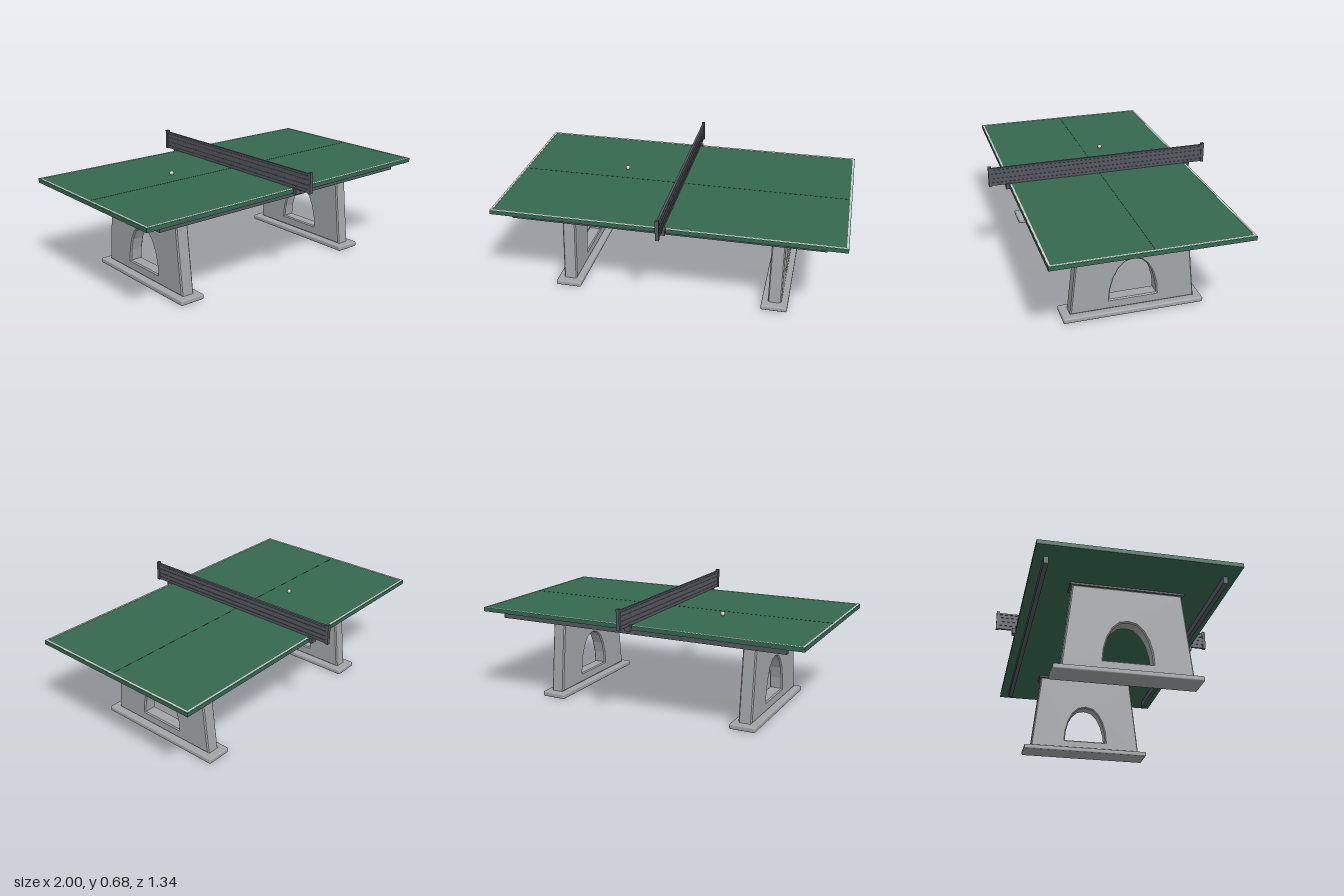
import * as THREE from 'three';
import { RoundedBoxGeometry } from 'three/addons/geometries/RoundedBoxGeometry.js';

const paint = (color) => new THREE.MeshStandardMaterial({ color });
const green = paint(0x35694f);
const darkGreen = paint(0x1c3529);
const steel = paint(0x55575f);
const concrete = paint(0xa2a5a6);
const light = paint(0xcccccc);

export function createModel() {
  const model = new THREE.Group();
  model.name = 'tableTennisTable';

  const add = (name, geometry, material, x, y, z, parent = model) => {
    const mesh = new THREE.Mesh(geometry, material);
    mesh.name = name;
    mesh.position.set(x, y, z);
    parent.add(mesh);
    return mesh;
  };
  const box = (name, material, w, h, d, x, y, z, parent) =>
    add(name, new THREE.BoxGeometry(w, h, d), material, x, y, z, parent);

  // Playing surface with its painted border and centre line
  box('tableTop', green, 2, 0.024, 1.1, 0, 0.547, 0);
  for (const s of [-1, 1]) {
    box('sideLine', light, 1.996, 0.002, 0.011, 0, 0.5595, s * 0.5425);
    box('endLine', light, 0.011, 0.002, 1.074, s * 0.9925, 0.5595, 0);
    // Stiffening rails under the long edges
    box('underRail', steel, 1.78, 0.04, 0.026, 0, 0.515, s * 0.485);
  }
  box('centreLine', darkGreen, 1.974, 0.001, 0.003, 0, 0.5593, 0);

  // Tapered slab leg with an arched opening
  const legShape = new THREE.Shape();
  legShape.moveTo(-0.362, 0.03);
  legShape.lineTo(0.362, 0.03);
  legShape.lineTo(0.308, 0.527);
  legShape.lineTo(-0.308, 0.527);
  legShape.closePath();
  const half = [[0.137, 0.088], [0.131, 0.155], [0.112, 0.225], [0.083, 0.28], [0.046, 0.315]];
  const arch = [...half, [0, 0.325], ...half.map(([z, y]) => [-z, y]).reverse()];
  legShape.holes.push(new THREE.Path(arch.map(([z, y]) => new THREE.Vector2(z, y))));
  const bevel = 0.007;
  const legGeometry = new THREE.ExtrudeGeometry(legShape, {
    depth: 0.08 - 2 * bevel, bevelEnabled: true, bevelSegments: 1,
    bevelSize: bevel, bevelThickness: bevel, bevelOffset: -bevel,
  });
  legGeometry.translate(0, 0, -(0.04 - bevel));
  legGeometry.rotateY(-Math.PI / 2);

  for (const s of [-1, 1]) {
    const support = new THREE.Group();
    support.name = s > 0 ? 'leftSupport' : 'rightSupport';
    support.position.x = s * 0.62;
    model.add(support);
    add('leg', legGeometry, concrete, 0, 0, 0, support);
    add('foot', new RoundedBoxGeometry(0.153, 0.03, 0.815, 2, 0.008), concrete, 0, 0.015, 0, support);
    box('legCap', steel, 0.1, 0.012, 0.64, 0, 0.53, 0, support);
  }

  // Net: thin panel with raised slats, separated by grooves
  const net = new THREE.Group();
  net.name = 'net';
  model.add(net);
  box('netPanel', steel, 0.006, 0.1, 1.3, 0, 0.612, 0, net);
  box('netTopRail', steel, 0.014, 0.01, 1.3, 0, 0.661, 0, net);
  for (const y of [0.645, 0.62, 0.592, 0.567]) {
    box('netSlat', steel, 0.012, y > 0.6 && y < 0.63 ? 0.022 : 0.018, 1.3, 0, y, 0, net);
  }
  for (const s of [-1, 1]) {
    box('netPost', steel, 0.02, 0.12, 0.018, 0, 0.615, s * 0.659, net);
    // Clamp wrapping the table edge
    box('netClamp', steel, 0.038, 0.032, 0.034, 0, 0.547, s * 0.553, net);
  }

  // Ball resting on the surface
  add('ball', new THREE.SphereGeometry(0.013, 16, 12), light, -0.37, 0.572, -0.11);

  return model;
}
